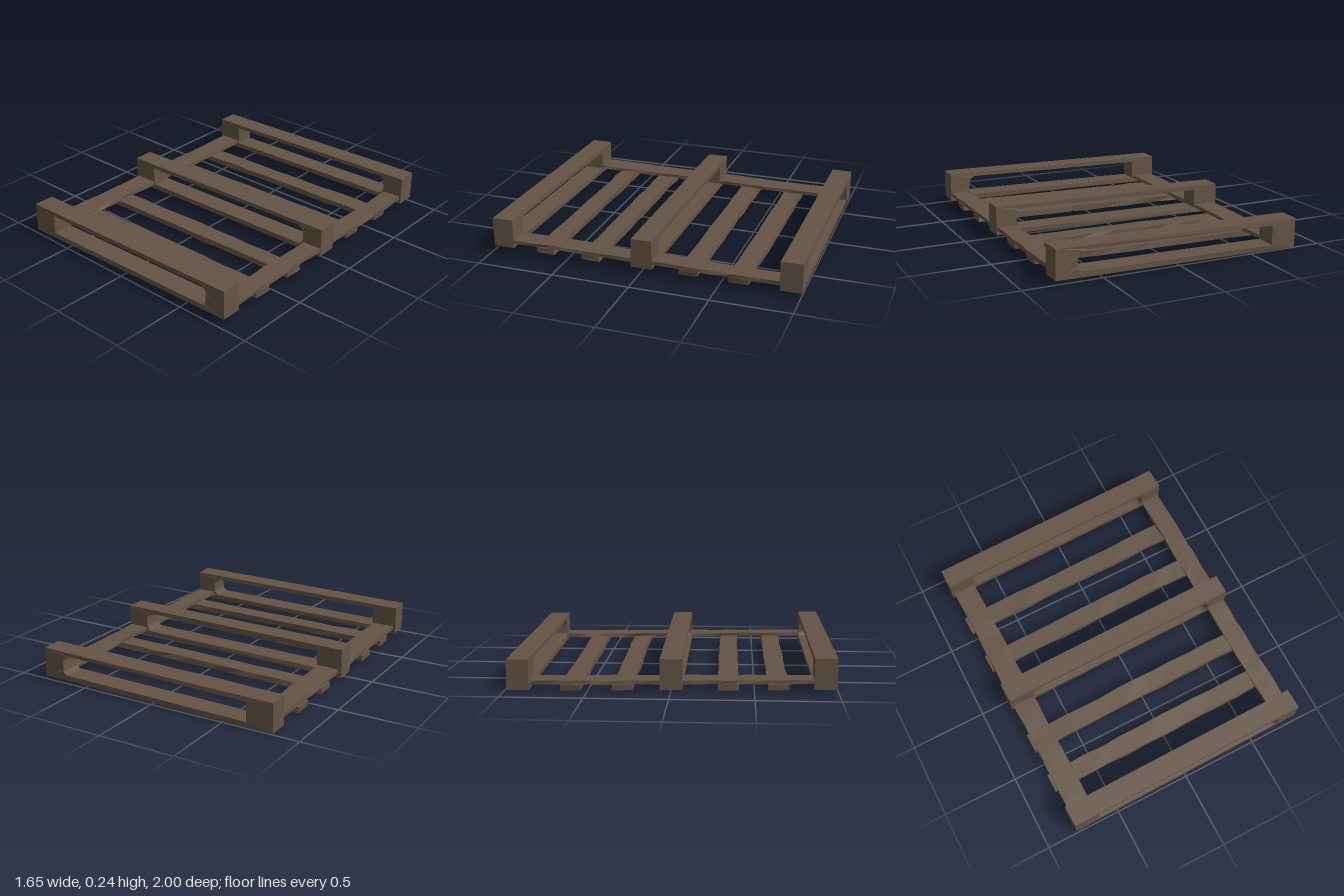
import * as THREE from 'three';

const wood = new THREE.MeshStandardMaterial({ color: 0x645446, flatShading: true });
wood.name = 'weathered brown wood';

// Repeatable noise from a position, so shared corners move together
function noise(x, y, z, k) {
  const s = Math.sin(x * 127.1 + y * 311.7 + z * 74.7 + k * 19.3) * 43758.5453;
  return (s - Math.floor(s)) * 2 - 1;
}

// Roughens the edges, then gives the whole pallet its slight warp
function warp(geo, rough) {
  const p = geo.attributes.position;
  for (let i = 0; i < p.count; i++) {
    const [x, y, z] = [p.getX(i), p.getY(i), p.getZ(i)].map((v) => Math.round(v * 1000) / 1000 + 0);
    const jx = x + noise(x, y, z, 1) * rough;
    const jy = y + noise(x, y, z, 2) * rough * 0.5;
    const jz = z + noise(x, y, z, 3) * rough;
    p.setXYZ(i, jx + 0.014 * jz, jy + 0.016 * jx + 0.012 * jz, jz - 0.008 * jx);
  }
  geo.computeVertexNormals();
  return geo;
}

function add(group, name, geo, rough) {
  const mesh = new THREE.Mesh(warp(geo, rough), wood);
  mesh.name = name;
  group.add(mesh);
}

// Board given by its limits, subdivided along its length
function board(x0, x1, y0, y1, z0, z1, sx, sz) {
  return new THREE.BoxGeometry(x1 - x0, y1 - y0, z1 - z0, sx, 1, sz)
    .translate((x0 + x1) / 2, (y0 + y1) / 2, (z0 + z1) / 2);
}

// Runner: top rail, bottom rail and end blocks around one long opening
function runner(z, width) {
  const s = new THREE.Shape();
  s.moveTo(-0.813, 0.039);
  s.lineTo(0.813, 0.039);
  s.lineTo(0.813, 0.228);
  s.lineTo(-0.813, 0.228);
  s.closePath();
  const h = new THREE.Path();
  h.moveTo(-0.64, 0.073);
  h.lineTo(-0.64, 0.198);
  h.lineTo(0.62, 0.202);
  h.quadraticCurveTo(0.67, 0.2, 0.675, 0.155);
  h.lineTo(0.675, 0.11);
  h.quadraticCurveTo(0.67, 0.075, 0.635, 0.073);
  h.closePath();
  s.holes.push(h);
  return new THREE.ExtrudeGeometry(s, { depth: width, bevelEnabled: false, curveSegments: 4 })
    .translate(0, 0, z - width / 2);
}

export function createModel() {
  const pallet = new THREE.Group();
  pallet.name = 'pallet';

  // Three tall runners across the pallet
  [['frontRunner', 0.918], ['middleRunner', -0.005], ['backRunner', -0.93]]
    .forEach(([name, z]) => add(pallet, name, runner(z, 0.135), 0.002));

  // Two thin side boards joining the runners
  add(pallet, 'leftStringer', board(0.68, 0.808, 0.07, 0.093, -0.92, 0.91, 1, 16), 0.005);
  add(pallet, 'rightStringer', board(-0.795, -0.647, 0.07, 0.093, -0.92, 0.91, 1, 16), 0.005);

  // Slats underneath, two in each bay
  [0.635, 0.335, -0.298, -0.61].forEach((z, i) => {
    add(pallet, `slat${i + 1}`, board(-0.812, 0.808, 0.036, 0.073, z - 0.061, z + 0.061, 12, 1), 0.005);
  });

  return pallet;
}
